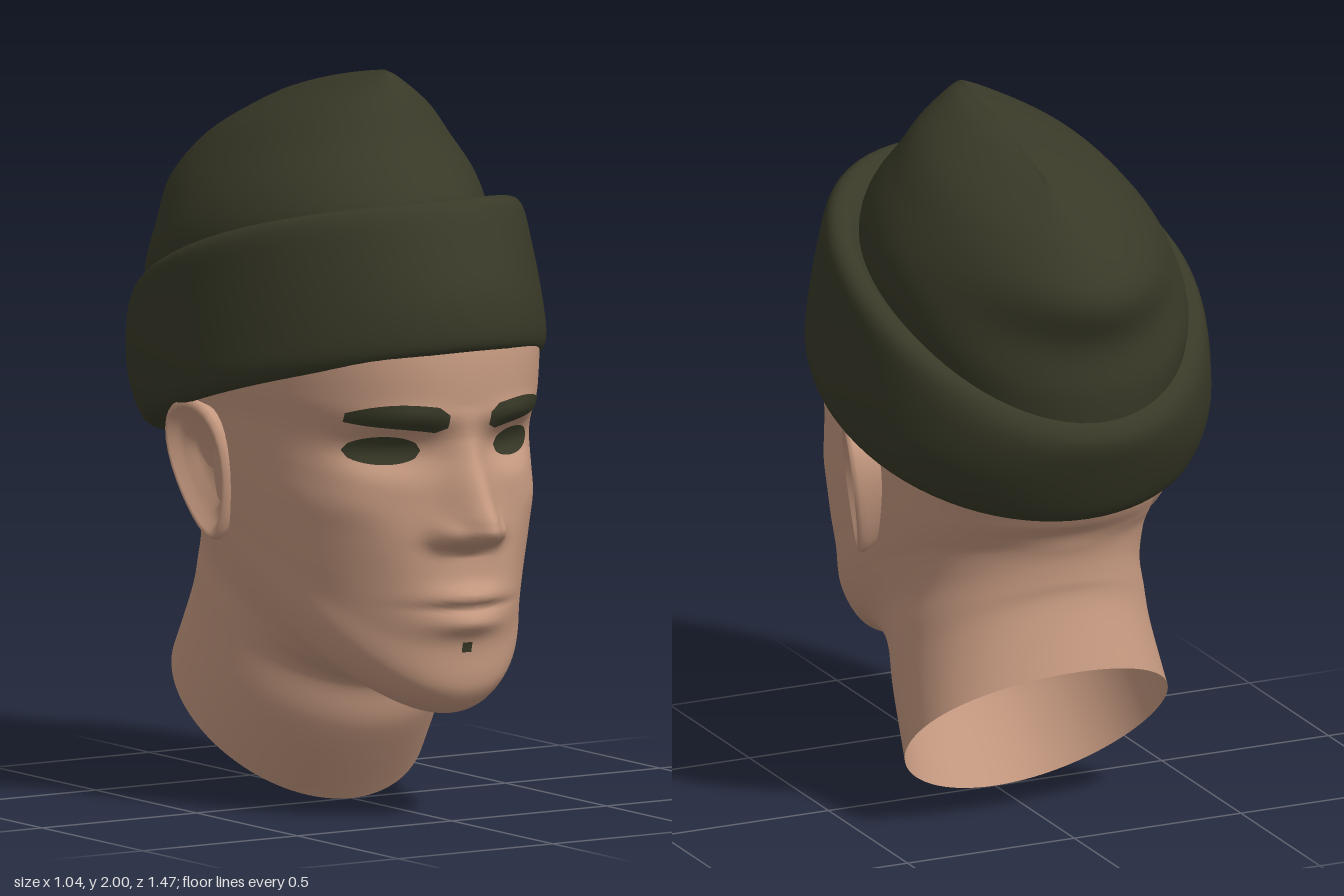
import * as THREE from 'three';

const skin = new THREE.MeshStandardMaterial({ color: 0xc4987f, side: THREE.DoubleSide });
skin.name = 'skin';
const olive = new THREE.MeshStandardMaterial({ color: 0x383927, side: THREE.DoubleSide });
olive.name = 'dark olive';
const red = new THREE.MeshStandardMaterial({ color: 0x3a0508, side: THREE.DoubleSide });
red.name = 'dark red';

const CX = -0.013; // the face features sit slightly off centre
const bump = (v, c, s) => Math.exp(-(((v - c) / s) ** 2));

function mesh(name, geometry, material) {
  const m = new THREE.Mesh(geometry, material);
  m.name = name;
  return m;
}

// grid of points -> smooth surface, columns optionally wrapped
function surface(points, cols, wrap) {
  const rows = points.length / cols, index = [];
  for (let i = 0; i < rows - 1; i++)
    for (let j = 0; j < (wrap ? cols : cols - 1); j++) {
      const k = (j + 1) % cols;
      const a = i * cols + j, b = i * cols + k, d = a + cols, e = b + cols;
      index.push(a, b, d, b, e, d);
    }
  const g = new THREE.BufferGeometry();
  g.setAttribute('position', new THREE.Float32BufferAttribute(points.flat(), 3));
  g.setIndex(index);
  g.computeVertexNormals();
  return g;
}

// smooth interpolation between section rows
function sectionAt(rows, t) {
  const i = Math.min(Math.floor(t), rows.length - 2), f = t - i;
  const at = (k) => rows[Math.max(0, Math.min(rows.length - 1, k))];
  const [a, b, c, d] = [at(i - 1), at(i), at(i + 1), at(i + 2)];
  return b.map((v, k) => v + 0.5 * f * (c[k] - a[k] +
    f * (2 * a[k] - 5 * v + 4 * c[k] - d[k] + f * (3 * (v - c[k]) + d[k] - a[k]))));
}

// loft of tilted ovals: [front z, front y, half width, side z, side y, back z, back y, centre x, roundness]
function loft(rows, steps, cols, warp, relief = () => 0) {
  const pts = [], n = (rows.length - 1) * steps;
  for (let i = 0; i <= n; i++) {
    const [zf, yf, xs, zs, ys, zb, yb, cx, p] = sectionAt(rows, i / steps);
    for (let j = 0; j < cols; j++) {
      const u = -1 + (2 * j) / cols;
      const th = Math.PI * Math.sign(u) * Math.abs(u) ** warp;
      const c = Math.cos(th), s = Math.sin(th);
      const x = cx + xs * Math.sign(s) * Math.abs(s) ** p;
      const y = ys + ((yf - yb) / 2) * c + ((yf + yb) / 2 - ys) * c * c;
      const z = zs + ((zf - zb) / 2) * c + ((zf + zb) / 2 - zs) * c * c;
      pts.push([x, y, z + (c > 0.15 ? relief(x - CX, y) : 0)]);
    }
  }
  return surface(pts, cols, true);
}

// height of the nose ridge over the face
const NOSE = [[0.745, 0], [0.768, 0.04], [0.785, 0.11], [0.815, 0.14], [0.85, 0.132],
  [0.9, 0.1], [1, 0.046], [1.06, 0.022], [1.15, 0]];
function noseHeight(y) {
  for (let i = 0; i < NOSE.length - 1; i++) {
    const [y0, h0] = NOSE[i], [y1, h1] = NOSE[i + 1];
    if (y >= y0 && y <= y1) return h0 + ((h1 - h0) * (y - y0)) / (y1 - y0);
  }
  return 0;
}

// nose, eye sockets, brow ridge, lips and cheeks
function faceRelief(x, y) {
  const ax = Math.abs(x);
  const width = THREE.MathUtils.clamp(0.08 - (y - 0.8) * 0.11, 0.052, 0.08);
  let d = noseHeight(y) * bump(x, 0, width);
  d += 0.026 * bump(ax, 0.085, 0.03) * bump(y, 0.805, 0.035);
  d -= 0.075 * bump(ax, 0.195, 0.1) * bump(y, 1.03, 0.052);
  d += 0.022 * bump(ax, 0.2, 0.065) * bump(y, 1.033, 0.032);
  d += 0.015 * bump(ax, 0.17, 0.11) * bump(y, 1.12, 0.035);
  d += 0.03 * bump(ax, 0, 0.11) * bump(y, 0.628, 0.03);
  d += 0.03 * bump(ax, 0, 0.105) * bump(y, 0.556, 0.033);
  d -= 0.014 * bump(ax, 0, 0.13) * bump(y, 0.6, 0.01);
  d -= 0.012 * bump(ax, 0.26, 0.07) * bump(y, 0.66, 0.1);
  d += 0.012 * bump(ax, 0.29, 0.08) * bump(y, 0.88, 0.06);
  return d;
}

function createHead() {
  const rows = [
    [0, 0, 0.375, -0.26, 0.26, -0.52, 0.48], // neck rim
    [0.15, 0.21, 0.357, -0.17, 0.42, -0.465, 0.65],
    [0.21, 0.345, 0.35, -0.13, 0.53, -0.462, 0.72],
    [0.36, 0.335, 0.347, -0.08, 0.6, -0.465, 0.78], // under the jaw
    [0.49, 0.295, 0.37, -0.03, 0.68, -0.475, 0.82], // jaw line
    [0.575, 0.36, 0.385, -0.02, 0.74, -0.49, 0.86],
    [0.592, 0.48, 0.395, -0.02, 0.8, -0.52, 0.9],
    [0.607, 0.6, 0.405, -0.01, 0.86, -0.545, 0.94],
    [0.6, 0.77, 0.415, 0, 0.95, -0.57, 0.98],
    [0.59, 0.9, 0.42, 0, 1.02, -0.585, 1.02],
    [0.588, 1.05, 0.425, 0, 1.1, -0.6, 1.06],
    [0.608, 1.15, 0.44, 0, 1.18, -0.61, 1.1],
    [0.602, 1.3, 0.445, 0, 1.3, -0.61, 1.15],
    [0.56, 1.42, 0.42, -0.02, 1.4, -0.59, 1.25],
    [0.4, 1.52, 0.32, -0.05, 1.48, -0.5, 1.35],
    [-0.04, 1.55, 0, -0.05, 1.55, -0.06, 1.55],
  ].map((r, i) => [...r, 0, i < 5 ? 1 : i < 8 ? 0.93 : 0.88]);
  return mesh('headAndNeck', loft(rows, 13, 160, 1.35, faceRelief), skin);
}

function createHat() {
  const hat = new THREE.Group();
  hat.name = 'knitHat';
  const cuff = [
    [0.56, 1.33, 0.42, -0.05, 1.16, -0.54, 0.97],
    [0.605, 1.3, 0.48, -0.05, 1.12, -0.575, 0.937],
    [0.63, 1.34, 0.515, -0.07, 1.15, -0.615, 0.965],
    [0.622, 1.45, 0.518, -0.11, 1.24, -0.685, 1.1],
    [0.57, 1.58, 0.503, -0.13, 1.41, -0.718, 1.19],
    [0.515, 1.685, 0.485, -0.13, 1.51, -0.69, 1.25],
    [0.46, 1.695, 0.435, -0.13, 1.53, -0.645, 1.265],
    [0.4, 1.64, 0.38, -0.12, 1.48, -0.6, 1.25],
  ].map((r) => [...r, 0, 1]);
  const crown = [
    [0.43, 1.6, 0.41, -0.18, 1.45, -0.69, 1.22, 0],
    [0.41, 1.68, 0.415, -0.2, 1.53, -0.7, 1.33, 0],
    [0.33, 1.76, 0.39, -0.21, 1.63, -0.695, 1.46, 0.01],
    [0.25, 1.83, 0.325, -0.22, 1.74, -0.735, 1.6, 0.02],
    [0.18, 1.92, 0.23, -0.21, 1.85, -0.655, 1.73, 0.035],
    [0.115, 1.985, 0.09, -0.2, 1.93, -0.55, 1.82, 0.055],
    [0.07, 2, 0, -0.2, 1.95, -0.45, 1.88, 0.065],
  ].map((r) => [...r, 1]);
  hat.add(mesh('hatCuff', loft(cuff, 6, 72, 1), olive));
  hat.add(mesh('hatCrown', loft(crown, 6, 72, 1), olive));
  return hat;
}

// ear: concentric loops from the back, over the rim, into the hollow
function createEar(side) {
  const loops = [[0.78, -0.09], [0.95, -0.02], [1, 0], [0.97, 0.016], [0.87, 0.016],
    [0.77, -0.006], [0.58, -0.008], [0.42, -0.03], [0, -0.034]];
  const pts = [];
  for (const [k, out] of loops)
    for (let j = 0; j < 32; j++) {
      const a = (-side * j * Math.PI * 2) / 32, s = Math.sin(a);
      const y = k * 0.195 * s;
      const z = -0.055 - 0.018 * s + k * Math.cos(a) * (0.09 + 0.026 * s);
      pts.push([side * (0.446 + out - 0.32 * (z + 0.06) + 0.13 * y), 0.932 + y, z]);
    }
  return mesh(side > 0 ? 'leftEar' : 'rightEar', surface(pts, 32, true), skin);
}

// thin plate following the face; centre line and half height vary with s from 0 (inner) to 1 (outer)
function facePlate(name, head, side, x0, x1, centre, half, cols = 17) {
  const ray = new THREE.Raycaster(), dir = new THREE.Vector3(0, 0, -1), pts = [];
  for (let i = 0; i < 5; i++)
    for (let j = 0; j < cols; j++) {
      const s = j / (cols - 1);
      const x = CX + side * (x0 + (x1 - x0) * s);
      const y = centre(s) + (i / 2 - 1) * half(s);
      ray.set(new THREE.Vector3(x, y, 2), dir);
      const hit = ray.intersectObject(head)[0];
      pts.push([x, y, (hit ? hit.point.z : 0.5) + 0.007]);
    }
  return mesh(name, surface(pts, cols, false), olive);
}

export function createModel() {
  const model = new THREE.Group();
  model.name = 'headWithKnitHat';
  const head = createHead();
  model.add(head, createHat());

  for (const side of [1, -1]) {
    const label = side > 0 ? 'left' : 'right';
    model.add(createEar(side));
    model.add(facePlate(label + 'Eye', head, side, 0.116, 0.287,
      () => 1.03, (s) => 0.002 + 0.037 * Math.sqrt(Math.max(0, 1 - (2 * s - 1) ** 2))));
    model.add(facePlate(label + 'Eyebrow', head, side, 0.065, 0.3,
      (s) => 1.113 + 0.016 * Math.sin(2.4 * s),
      (s) => 0.036 * (1 - 0.65 * s ** 4) * Math.min(1, 0.5 + s * 4)));
  }
  model.add(facePlate('chinPatch', head, 1, -0.018, 0.012, () => 0.49, () => 0.014, 4));

  // mouth cavity, seen through the open neck
  const mouth = mesh('mouthCavity', new THREE.SphereGeometry(0.1, 20, 14), red);
  mouth.scale.set(1.1, 0.9, 1.3);
  mouth.position.set(0, 0.57, 0.22);
  model.add(mouth);
  return model;
}
